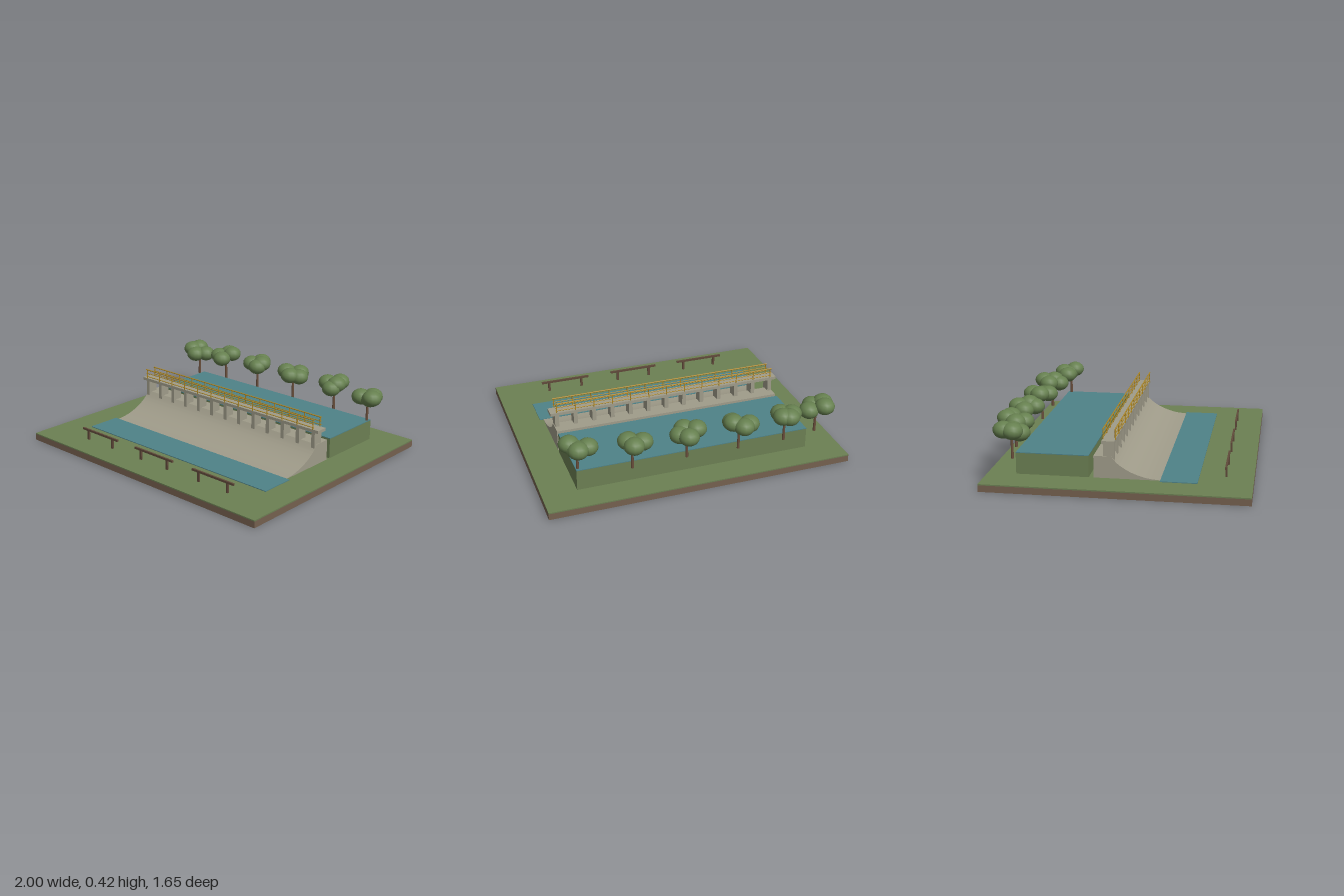
import * as THREE from 'three';
import { toCreasedNormals } from 'three/addons/utils/BufferGeometryUtils.js';

const material = (name, color) => {
  const m = new THREE.MeshStandardMaterial({ color });
  m.name = name;
  return m;
};

export function createModel() {
  const model = new THREE.Group();
  model.name = 'damDiorama';
  const grass = material('grass', 0x6c8053);
  const soil = material('soil', 0x75604f);
  const water = material('water', 0x4f8288);
  const concrete = material('concrete', 0xa09c8a);
  const railPaint = material('railPaint', 0xb08a28);
  const wood = material('wood', 0x604a3a);
  const bark = material('bark', 0x6a4f3c);
  const leaves = material('leaves', 0x66804f);

  const add = (name, geometry, mat, parent = model) => {
    const mesh = new THREE.Mesh(geometry, mat);
    mesh.name = name;
    parent.add(mesh);
    return mesh;
  };
  const group = (name) => {
    const g = new THREE.Group();
    g.name = name;
    model.add(g);
    return g;
  };
  // Box given by its limits on each axis
  const box = (name, mat, [x0, x1], [y0, y1], [z0, z1], parent) => {
    const mesh = add(name, new THREE.BoxGeometry(x1 - x0, y1 - y0, z1 - z0), mat, parent);
    mesh.position.set((x0 + x1) / 2, (y0 + y1) / 2, (z0 + z1) / 2);
    return mesh;
  };

  // Ground slab
  box('soilSlab', soil, [-1, 1], [0, 0.042], [-0.827, 0.827]);
  box('grassTop', grass, [-1, 1], [0.042, 0.05], [-0.827, 0.827]);

  // Raised reservoir behind the dam and pool in front
  box('reservoirBank', grass, [-0.775, 0.775], [0.05, 0.186], [-0.645, -0.185]);
  box('reservoirWater', water, [-0.775, 0.775], [0.186, 0.191], [-0.645, -0.185]);
  box('lowerPool', water, [-0.8, 0.8], [0.05, 0.055], [0.26, 0.49]);

  // Spillway: concave slope drawn in z and y, swept along x
  const profile = new THREE.Shape();
  profile.moveTo(-0.155, 0.048);
  profile.lineTo(0.275, 0.048);
  profile.lineTo(0.275, 0.051);
  profile.splineThru([[0.2, 0.058], [0.14, 0.071], [0.08, 0.093], [0.03, 0.12], [-0.01, 0.15], [-0.045, 0.19]]
    .map(([z, y]) => new THREE.Vector2(z, y)));
  profile.lineTo(-0.155, 0.19);
  const sweep = new THREE.ExtrudeGeometry(profile, { depth: 1.55, bevelEnabled: false, curveSegments: 4 });
  sweep.translate(0, 0, -0.775).rotateY(-Math.PI / 2);
  add('spillway', toCreasedNormals(sweep, 0.5), concrete);

  // Footbridge on thirteen piers
  const bridge = group('footbridge');
  box('deck', concrete, [-0.8, 0.8], [0.275, 0.295], [-0.1, -0.02], bridge);
  const stations = Array.from({ length: 13 }, (_, i) => (i - 6) * 0.1262);
  for (const x of stations) {
    box('pier', concrete, [x - 0.0135, x + 0.0135], [0.15, 0.275], [-0.095, -0.025], bridge);
  }

  // Railings on both sides of the deck
  const railings = group('railings');
  for (const z of [-0.096, -0.02]) {
    for (const x of stations) {
      add('railPost', new THREE.CylinderGeometry(0.0035, 0.0035, 0.066, 8), railPaint, railings)
        .position.set(x, 0.327, z);
    }
    for (const [y, r] of [[0.36, 0.0045], [0.333, 0.003], [0.309, 0.003]]) {
      const rail = add('rail', new THREE.CylinderGeometry(r, r, 1.53, 8), railPaint, railings);
      rail.rotation.z = Math.PI / 2;
      rail.position.set(0, y, z);
    }
  }

  // Three low wooden barriers on the front lawn
  for (const x of [-0.517, 0, 0.517]) {
    const barrier = group('barrier');
    box('barrierBar', wood, [x - 0.173, x + 0.173], [0.112, 0.126], [0.648, 0.66], barrier);
    for (const px of [x - 0.12, x + 0.12]) {
      box('barrierPost', wood, [px - 0.008, px + 0.008], [0.05, 0.113], [0.648, 0.66], barrier);
    }
  }

  // Trees: trunk x, z, then leaf clumps as x, y, z
  const trees = [
    { trunk: [-0.83, -0.65], clumps: [[-0.87, 0.362, -0.69], [-0.775, 0.335, -0.66], [-0.885, 0.36, -0.63], [-0.825, 0.335, -0.6]] },
    { trunk: [-0.59, -0.69], clumps: [[-0.6, 0.36, -0.74], [-0.56, 0.362, -0.725], [-0.645, 0.345, -0.675], [-0.585, 0.338, -0.635]] },
    { trunk: [-0.275, -0.69], clumps: [[-0.285, 0.355, -0.75], [-0.34, 0.342, -0.7], [-0.235, 0.362, -0.69], [-0.245, 0.345, -0.65]] },
    { trunk: [0.07, -0.68], clumps: [[0.08, 0.35, -0.745], [0.008, 0.362, -0.68], [0.12, 0.34, -0.685], [0.075, 0.352, -0.635]] },
    { trunk: [0.43, -0.69], clumps: [[0.435, 0.36, -0.75], [0.365, 0.352, -0.7], [0.455, 0.362, -0.68], [0.44, 0.338, -0.64]] },
    { trunk: [0.76, -0.62], clumps: [[0.765, 0.35, -0.675], [0.695, 0.342, -0.635], [0.805, 0.362, -0.6], [0.77, 0.34, -0.635]] },
  ];
  const clumpGeometry = new THREE.SphereGeometry(1, 14, 10);
  const trunkGeometry = new THREE.CylinderGeometry(0.007, 0.01, 0.15, 8);
  for (const { trunk: [x, z], clumps } of trees) {
    const tree = group('tree');
    add('trunk', trunkGeometry, bark, tree).position.set(x, 0.243, z);
    for (const [cx, cy, cz] of clumps) {
      const clump = add('leafClump', clumpGeometry, leaves, tree);
      clump.position.set(cx, cy, cz);
      clump.scale.set(0.066, 0.054, 0.066);
    }
  }
  return model;
}
